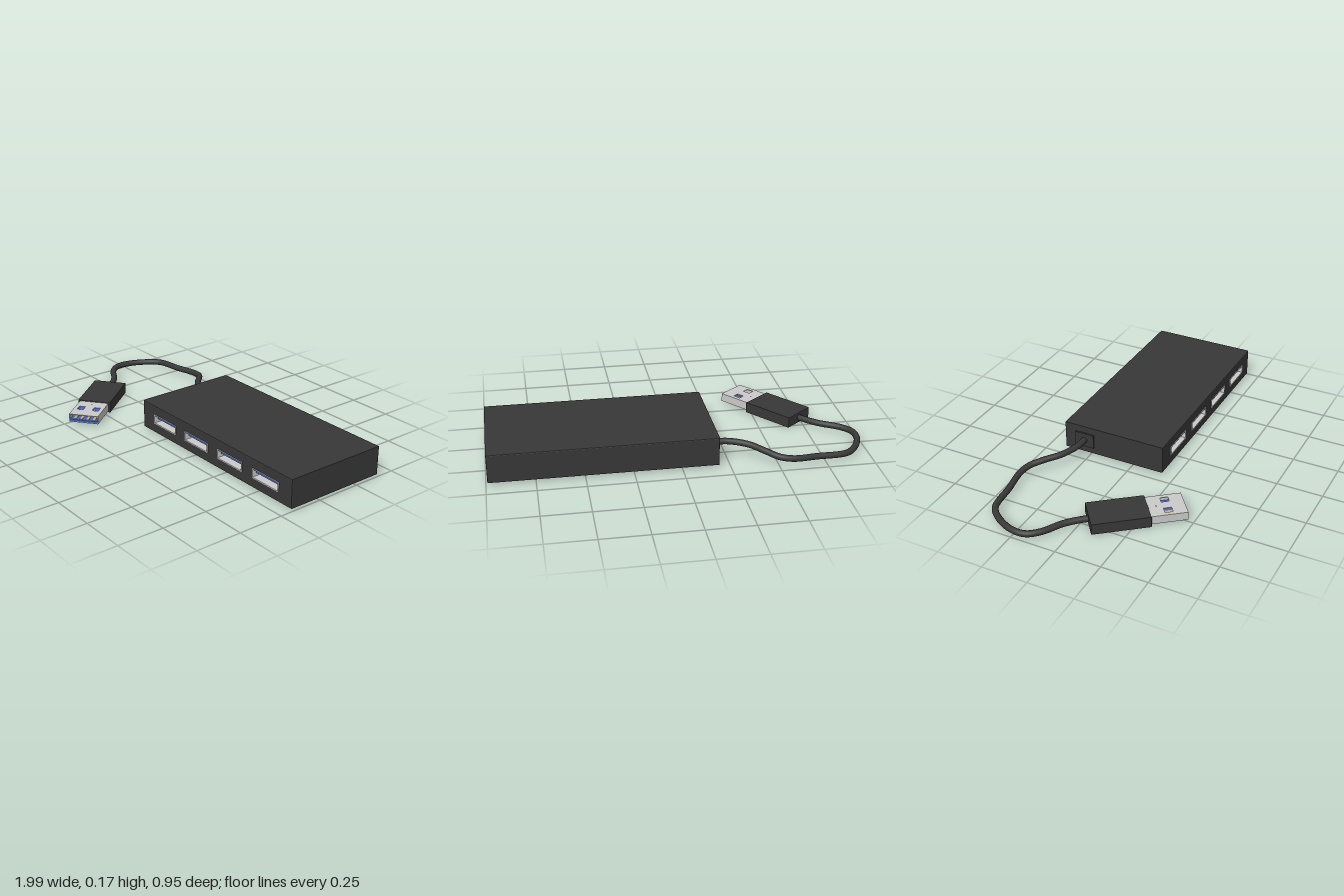
import * as THREE from 'three';

const mat = (color) => new THREE.MeshStandardMaterial({ color });
const dark = mat(0x383838), metal = mat(0xcccccc), blue = mat(0x3f63d8), gold = mat(0xd8b040);

function add(parent, name, geometry, material, x = 0, y = 0, z = 0) {
  const mesh = new THREE.Mesh(geometry, material);
  mesh.name = name;
  mesh.position.set(x, y, z);
  parent.add(mesh);
  return mesh;
}
const box = (w, h, d) => new THREE.BoxGeometry(w, h, d);

// Closed rectangle centred on (cx, cy), used for outlines and holes
function rect(Type, w, h, cx = 0, cy = 0) {
  const p = new Type(), x = w / 2, y = h / 2;
  p.moveTo(cx - x, cy - y).lineTo(cx + x, cy - y).lineTo(cx + x, cy + y).lineTo(cx - x, cy + y).closePath();
  return p;
}

// Slab running from z0 to z1 with small chamfers and optional holes
function slab(w, h, z0, z1, holes, bevel) {
  const shape = rect(THREE.Shape, w, h);
  shape.holes = holes;
  const g = new THREE.ExtrudeGeometry(shape, {
    depth: z1 - z0 - 2 * bevel, bevelEnabled: bevel > 0, bevelThickness: bevel,
    bevelSize: bevel, bevelOffset: -bevel, bevelSegments: 2,
  });
  return g.translate(0, 0, z0 + bevel);
}

// Socket: open metal liner, blue back, blue tongue with contacts underneath
function makePort() {
  const port = new THREE.Group();
  port.name = 'port';
  const w = 0.19, h = 0.052, t = 0.005, d = 0.14;
  add(port, 'portLiner', slab(w, h, -d, 0.002, [rect(THREE.Path, w - 2 * t, h - 2 * t)], 0), metal);
  add(port, 'portBack', box(w - t, h - t, 0.004), blue, 0, 0, -d + 0.002);
  add(port, 'portTongue', box(w - 0.03, 0.016, d - 0.012), blue, 0, 0.011, -d / 2 - 0.006);
  for (let i = 0; i < 4; i++) {
    add(port, 'portContact', box(0.014, 0.003, d - 0.03), gold, (i - 1.5) * 0.038, 0.002, -d / 2 - 0.01);
  }
  return port;
}

// Plug: moulded grip, hollow metal shell with latch windows, blue tongue
function makePlug() {
  const plug = new THREE.Group();
  plug.name = 'plug';
  const gripLength = 0.303, w = 0.167, h = 0.046, t = 0.004, length = 0.187, y = 0.032;
  add(plug, 'plugGrip', slab(0.187, 0.06, 0, gripLength, [], 0.003), dark, 0, 0.03, 0);
  const shell = new THREE.Group();
  shell.name = 'plugShell';
  shell.position.set(0, y, gripLength);
  plug.add(shell);
  for (const s of [-1, 1]) {
    add(shell, 'shellSide', box(t, h, length), metal, s * (w - t) / 2, 0, length / 2);
    const windows = [-1, 1].map((k) => rect(THREE.Path, 0.036, 0.042, k * 0.044, 0));
    const face = add(shell, 'shellFace', slab(w, length, 0, t, windows, 0), metal, 0, s > 0 ? h / 2 : -h / 2 + t, length / 2);
    face.rotation.x = Math.PI / 2;
  }
  add(shell, 'shellSeamDot', new THREE.CylinderGeometry(0.004, 0.004, 0.001, 12), dark, 0, h / 2, 0.04);
  add(shell, 'plugTongue', box(w - 2 * t, 0.012, length - 0.001), blue, 0, -h / 2 + t + 0.005, length / 2);
  for (let i = 0; i < 4; i++) {
    add(shell, 'plugContact', box(0.015, 0.003, 0.13), gold, (i - 1.5) * 0.036, -h / 2 + 0.016, length - 0.072);
  }
  return plug;
}

export function createModel() {
  const model = new THREE.Group();
  model.name = 'portHub';

  // Hub case: front section with four openings, overlapping a solid rear section
  const cx = 0.4, cy = 0.087, w = 1.184, h = 0.156;
  const portX = [0, 1, 2, 3].map((i) => 0.001 + i * 0.268);
  const openings = portX.map((x) => rect(THREE.Path, 0.188, 0.05, x - cx, 0));
  add(model, 'caseFront', slab(w, h, -0.05, 0.18, openings, 0.005), dark, cx, cy, 0);
  add(model, 'caseRear', slab(w, h, -0.405, 0.01, [], 0.005), dark, cx, cy, 0);
  for (const x of portX) {
    const port = makePort();
    port.position.set(x, cy, 0.18);
    model.add(port);
  }

  // Cable and its outlet plate
  add(model, 'cableOutlet', box(0.02, 0.08, 0.112), dark, -0.19, 0.086, -0.285);
  const path = new THREE.CatmullRomCurve3([
    [-0.18, 0.086, -0.285], [-0.26, 0.084, -0.288], [-0.36, 0.077, -0.328], [-0.44, 0.065, -0.4],
    [-0.5, 0.053, -0.448], [-0.57, 0.045, -0.463], [-0.7, 0.038, -0.445], [-0.86, 0.032, -0.425],
    [-0.925, 0.029, -0.365], [-0.975, 0.028, -0.26], [-0.975, 0.028, -0.18], [-0.93, 0.029, -0.12],
    [-0.82, 0.03, -0.05], [-0.75, 0.03, 0.018], [-0.72, 0.03, 0.055],
  ].map((p) => new THREE.Vector3(...p)));
  add(model, 'cable', new THREE.TubeGeometry(path, 120, 0.017, 16), dark);

  const plug = makePlug();
  plug.position.set(-0.735, 0, 0.035);
  plug.rotation.y = 0.67;
  model.add(plug);
  return model;
}
